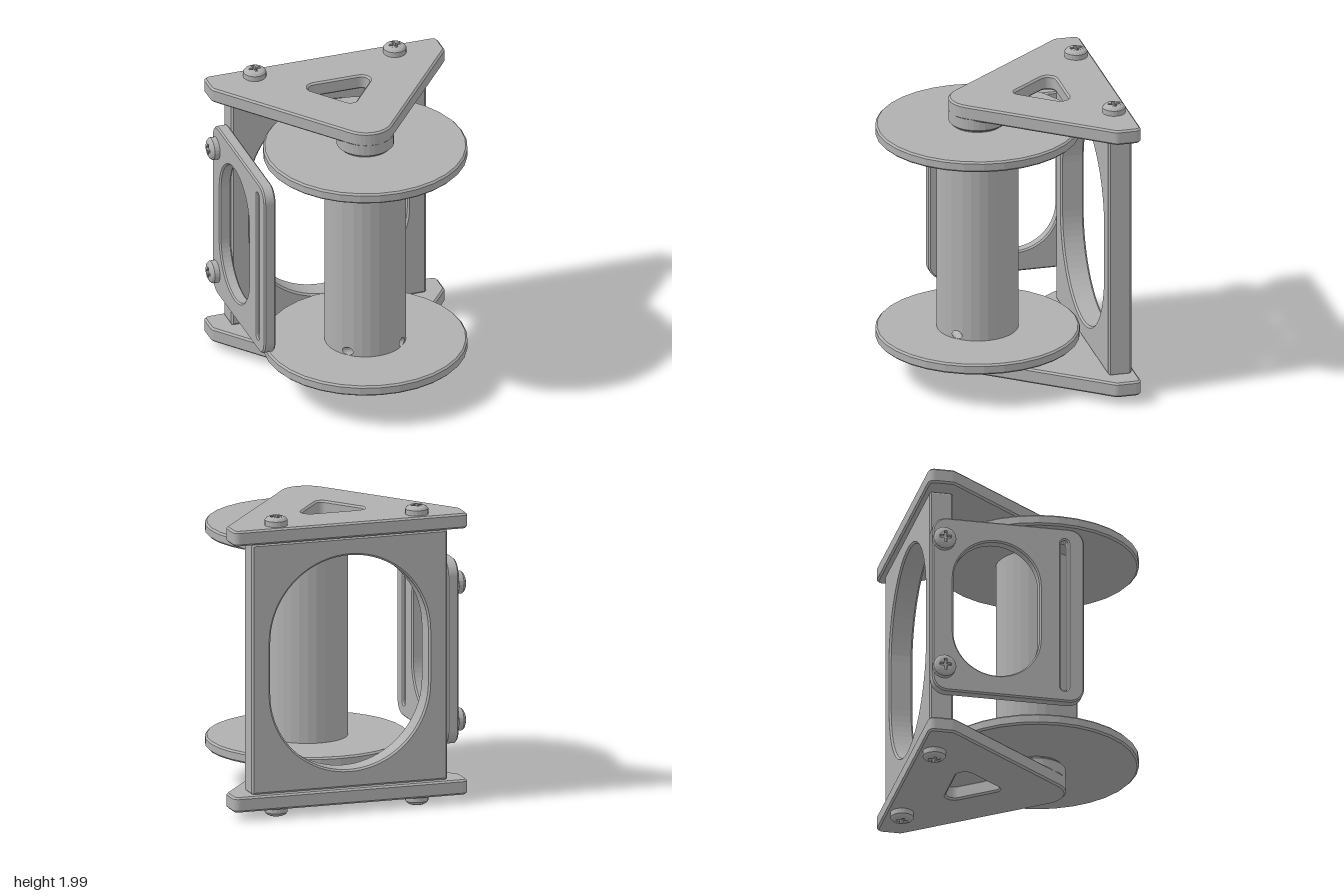
import * as THREE from 'three';

const grey = new THREE.MeshStandardMaterial({ color: 0xb0b0b0, flatShading: true });
grey.name = 'grey metal';

const V = (x, y) => new THREE.Vector2(x, y);

// Closed outline from corners [x, y, radius], each corner rounded by an arc
function rounded(corners, PathType = THREE.Shape) {
  const path = new PathType();
  const n = corners.length;
  corners.forEach(([x, y, r], i) => {
    const p = V(x, y);
    const a = V(...corners[(i + n - 1) % n].slice(0, 2)).sub(p).normalize();
    const b = V(...corners[(i + 1) % n].slice(0, 2)).sub(p).normalize();
    const angle = Math.acos(a.dot(b));
    const t = r / Math.tan(angle / 2);
    const k = t - r * (4 / 3) * Math.tan((Math.PI - angle) / 4);
    const at = (d, s) => p.clone().addScaledVector(d, s);
    const start = at(a, t), c1 = at(a, k), c2 = at(b, k), end = at(b, t);
    if (i === 0) path.moveTo(start.x, start.y);
    else path.lineTo(start.x, start.y);
    path.bezierCurveTo(c1.x, c1.y, c2.x, c2.y, end.x, end.y);
  });
  path.closePath();
  return path;
}

// Upright slot with round ends
function slot(x, y0, y1, r) {
  const path = new THREE.Path();
  path.absarc(x, y1 - r, r, 0, Math.PI, false);
  path.absarc(x, y0 + r, r, Math.PI, Math.PI * 2, false);
  path.closePath();
  return path;
}

// Plate with chamfered edges, filling z = 0 .. depth
function slab(shape, depth, bevel = 0.012, curveSegments = 10) {
  return new THREE.ExtrudeGeometry(shape, {
    depth: depth - 2 * bevel, curveSegments, bevelEnabled: bevel > 0,
    bevelThickness: bevel, bevelSize: bevel, bevelOffset: -bevel, bevelSegments: 1,
  }).translate(0, 0, bevel);
}

const lathe = (points, segments = 32) =>
  new THREE.LatheGeometry(points.map(([x, y]) => V(x, y)), segments);

function add(parent, name, geometry, x = 0, y = 0, z = 0) {
  const mesh = new THREE.Mesh(geometry, grey);
  mesh.name = name;
  mesh.position.set(x, y, z);
  parent.add(mesh);
  return mesh;
}

// Domed screw head with a cross recess, standing on y = 0
function screw(name) {
  const g = new THREE.Group();
  g.name = name;
  add(g, 'screwRim', lathe([[0.075, 0], [0.075, 0.035], [0.064, 0.049], [0.045, 0.058]], 20));
  const face = new THREE.Shape().absarc(0, 0, 0.045, 0, Math.PI * 2, false);
  const a = 0.039, w = 0.01;
  face.holes.push(new THREE.Path([
    [a, w], [w, w], [w, a], [-w, a], [-w, w], [-a, w],
    [-a, -w], [-w, -w], [-w, -a], [w, -a], [w, -w], [a, -w],
  ].map(([x, y]) => V(x, y))));
  add(g, 'screwFace', slab(face, 0.028, 0, 20).rotateX(-Math.PI / 2), 0, 0.03);
  add(g, 'recessFloor', new THREE.CircleGeometry(0.045, 20).rotateX(-Math.PI / 2), 0, 0.032);
  return g;
}

// Spool: drilled tube, two flanges, two stepped bosses
function spool() {
  const g = new THREE.Group();
  g.name = 'spool';
  const R = 0.265, y0 = 0.32, y1 = 1.69, rad = Math.PI / 180;
  const arc = (from, to, n) => new THREE.CylinderGeometry(
    R, R, y1 - y0, n, 1, true, from * rad, (to - from) * rad);
  add(g, 'tubeFront', arc(-36, 36, 6), 0, (y0 + y1) / 2);
  add(g, 'tubeBack', arc(54, 306, 21), 0, (y0 + y1) / 2);

  // Strip joining the two arcs, drilled sideways at both ends
  const za = R * Math.cos(54 * rad), zb = R * Math.cos(36 * rad);
  const strip = new THREE.Shape([V(za, y0), V(zb, y0), V(zb, y1), V(za, y1)]);
  for (const y of [0.36, 1.645]) {
    strip.holes.push(new THREE.Path().absarc((za + zb) / 2, y, 0.027, 0, Math.PI * 2, true));
  }
  const geo = slab(strip, 2, 0).rotateY(-Math.PI / 2).translate(1, 0, 0);
  const pos = geo.attributes.position;
  for (let i = 0; i < pos.count; i++) pos.setX(i, pos.getX(i) * (za + zb - pos.getZ(i)));
  geo.computeVertexNormals();
  add(g, 'tubeDrilledStrip', geo);

  const flange = lathe([[0, 0], [0.65, 0], [0.662, 0.012], [0.662, 0.06], [0.65, 0.072], [0, 0.072]]);
  add(g, 'lowerFlange', flange, 0, 0.26);
  add(g, 'upperFlange', flange, 0, 1.68);
  const boss = lathe([[0.162, -0.02], [0.162, 0.013], [0.175, 0.013], [0.187, 0.025], [0.187, 0.1]]);
  add(g, 'upperBoss', boss, 0, 1.75);
  add(g, 'lowerBoss', boss, 0, 0.26).rotation.x = Math.PI;
  g.position.z = 0.11;
  return g;
}

export function createModel() {
  const model = new THREE.Group();
  model.name = 'spoolHolder';
  model.add(spool());

  // Triangular end plates with a triangular window
  const tri = rounded([
    [-0.8, -0.778, 0.04], [0.8, -0.778, 0.04], [0.8, -0.61, 0.05], [0, 0.41, 0.178], [-0.8, -0.61, 0.05],
  ]);
  tri.holes.push(rounded([[-0.266, -0.455, 0.055], [0.266, -0.455, 0.055], [0, -0.115, 0.04]], THREE.Path));
  const plate = slab(tri, 0.1).rotateX(Math.PI / 2);
  add(model, 'upperPlate', plate, 0, 1.94);
  add(model, 'lowerPlate', plate, 0, 0.17);

  // Back panel with a large oval opening
  const back = rounded([[-0.667, 0.172, 0.015], [0.667, 0.172, 0.015], [0.667, 1.835, 0.015], [-0.667, 1.835, 0.015]]);
  back.holes.push(slot(0, 0.29, 1.715, 0.54));
  add(model, 'backPanel', slab(back, 0.155, 0.012, 20), 0, 0, -0.745);

  // Side guide plate with an oval opening and a narrow slot
  const side = rounded([[-0.745, 0.39, 0.1], [0.26, 0.39, 0.1], [0.26, 1.62, 0.1], [-0.745, 1.62, 0.1]]);
  side.holes.push(slot(-0.32, 0.53, 1.48, 0.285), slot(0.13, 0.47, 1.54, 0.024));
  add(model, 'sideGuide', slab(side, 0.08, 0.01, 14).rotateY(-Math.PI / 2), -0.665);

  // Screws in the end plates and in the side guide
  for (const x of [-0.48, 0.48]) {
    const top = screw('upperScrew');
    top.position.set(x, 1.94, -0.675);
    const bottom = screw('lowerScrew');
    bottom.position.set(x, 0.07, -0.675);
    bottom.rotation.x = Math.PI;
    model.add(top, bottom);
  }
  for (const y of [0.55, 1.46]) {
    const s = screw('sideScrew');
    s.position.set(-0.745, y, -0.67);
    s.rotation.z = Math.PI / 2;
    model.add(s);
  }
  return model;
}
